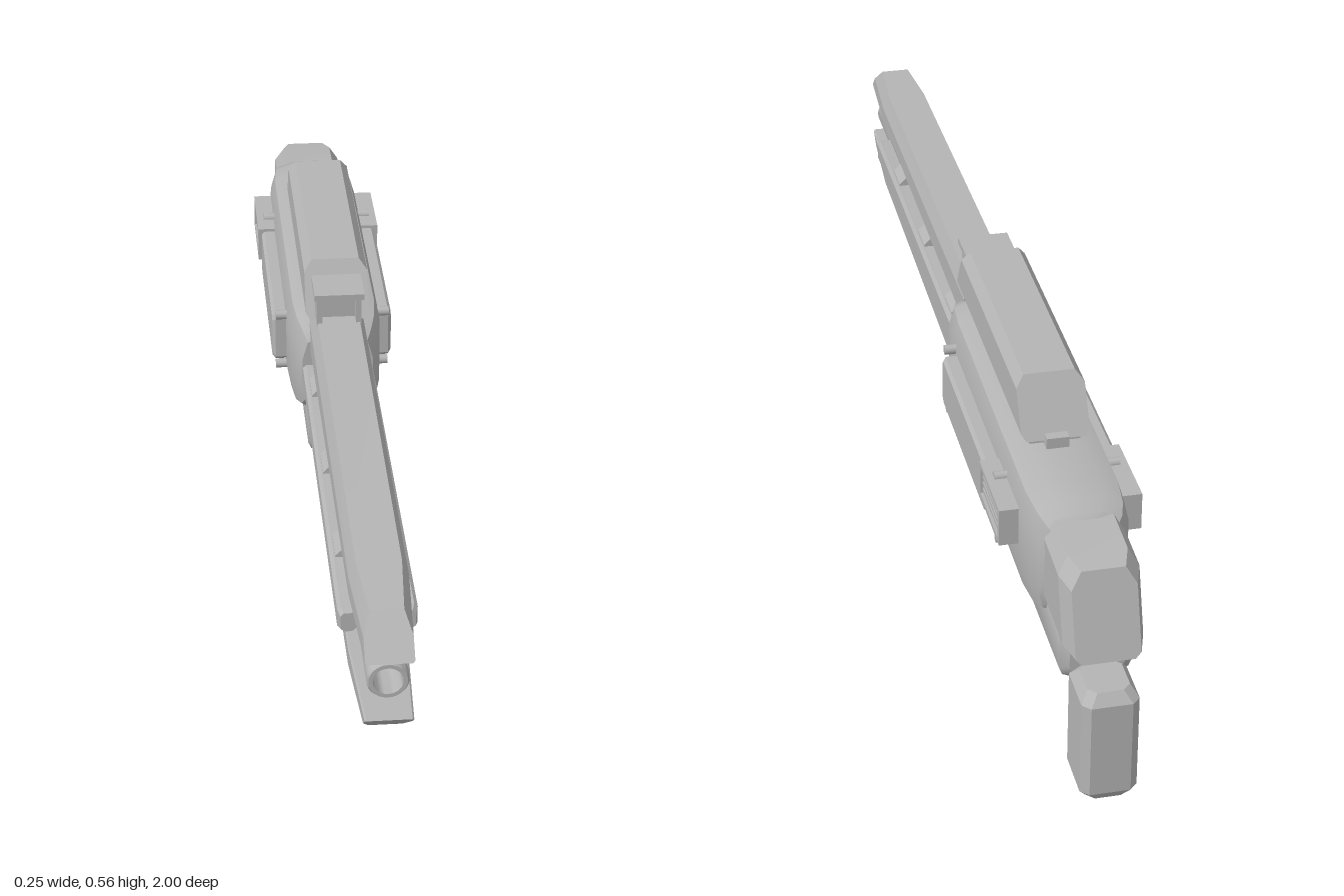
import * as THREE from 'three';
import { toCreasedNormals } from 'three/addons/utils/BufferGeometryUtils.js';

const metal = new THREE.MeshStandardMaterial({ color: 0xb4b4b4 });
metal.name = 'grey metal';

// Chamfered cross-section. z may be [bottom, top] for a slanted one; k < 0.5 rounds the chamfer.
function ring(z, w, y0, y1, { t = [0.01, 0.01], b = t, k = 0.5 } = {}) {
  const [zb, zt] = Array.isArray(z) ? z : [z, z];
  const right = [
    [w - b[0], y0], [w - b[0] * k, y0 + b[1] * k], [w, y0 + b[1]],
    [w, y1 - t[1]], [w - t[0] * k, y1 - t[1] * k], [w - t[0], y1],
  ];
  const left = right.map(([x, y]) => [-x, y]).reverse();
  return [...right, ...left].map(([x, y]) => [x, y, zb + (zt - zb) * (y - y0) / (y1 - y0)]);
}

// Skin rings from high z to low z, with both ends capped.
function loft(rings, crease = 0.45) {
  const n = rings[0].length, index = [], last = (rings.length - 1) * n;
  for (let i = 0; i < rings.length - 1; i++) {
    for (let j = 0; j < n; j++) {
      const a = i * n + j, b = i * n + (j + 1) % n;
      index.push(a, a + n, b, b, a + n, b + n);
    }
  }
  for (let j = 1; j < n - 1; j++) {
    index.push(0, j, j + 1, last, last + j + 1, last + j);
  }
  const g = new THREE.BufferGeometry();
  g.setAttribute('position', new THREE.Float32BufferAttribute(rings.flat(2), 3));
  g.setIndex(index);
  return toCreasedNormals(g, crease);
}

function frame(w, h, border, depth) {
  const rect = (s, a, b) => s.moveTo(-a, -b).lineTo(a, -b).lineTo(a, b).lineTo(-a, b).closePath();
  const shape = rect(new THREE.Shape(), w / 2, h / 2);
  shape.holes.push(rect(new THREE.Path(), w / 2 - border, h / 2 - border));
  return new THREE.ExtrudeGeometry(shape, { depth, bevelEnabled: false });
}

export function createModel() {
  const model = new THREE.Group();
  const add = (name, geometry, x = 0, y = 0, z = 0, parent = model) => {
    const mesh = new THREE.Mesh(geometry, metal);
    mesh.name = name;
    mesh.position.set(x, y, z);
    parent.add(mesh);
    return mesh;
  };

  // Long rails above and below the barrel
  const railEdge = { t: [0.012, 0.03], b: [0.003, 0.003] };
  const lowEdge = { t: [0.003, 0.003], b: [0.012, 0.03] };
  add('upperRail', loft([
    ring([1, 0.935], 0.04, 0.395, 0.455, railEdge),
    ring(0.8, 0.05, 0.394, 0.458, railEdge),
    ring(-0.06, 0.052, 0.388, 0.47, railEdge),
  ], 0.2));
  add('lowerRail', loft([
    ring([0.935, 1], 0.04, 0.228, 0.285, lowEdge),
    ring(0.8, 0.05, 0.224, 0.286, lowEdge),
    ring(-0.06, 0.052, 0.208, 0.29, lowEdge),
  ], 0.2));

  // Hollow barrel
  const tube = [[0.035, -1], [0.035, -0.005], [0.032, 0], [0.025, 0], [0.025, -0.15], [0, -0.15]];
  const barrel = new THREE.LatheGeometry(tube.map(p => new THREE.Vector2(...p)), 28);
  barrel.rotateX(Math.PI / 2);
  add('barrel', toCreasedNormals(barrel, 0.6), 0, 0.34, 0.97);

  // Side bars and the clamps that hold them
  for (const s of [-1, 1]) {
    const e = { t: [0.006, 0.006] };
    add('sideBar', loft([
      ring(0.8, 0.013, 0.321, 0.357, e), ring(0.785, 0.017, 0.317, 0.361, e), ring(-0.05, 0.017, 0.317, 0.361, e),
    ]), s * 0.05);
  }
  for (const z of [0.605, 0.335, 0.06]) {
    const clamp = new THREE.CylinderGeometry(0.063, 0.063, 0.065, 8).toNonIndexed();
    clamp.rotateX(Math.PI / 2).rotateZ(Math.PI / 8);
    clamp.computeVertexNormals();
    add('clamp', clamp, 0, 0.34, z);
  }

  // Main body with softened ends
  const body = { t: [0.045, 0.05], b: [0.03, 0.05], k: 0.24 };
  add('receiver', loft([
    ring(-0.03, 0.068, 0.275, 0.422, body),
    ring(-0.045, 0.076, 0.256, 0.438, body),
    ring(-0.08, 0.085, 0.246, 0.449, body),
    ring(-0.14, 0.09, 0.242, 0.452, body),
    ring(-0.7, 0.09, 0.236, 0.447, body),
    ring(-0.76, 0.084, 0.237, 0.444, body),
    ring(-0.788, 0.076, 0.246, 0.437, body),
    ring(-0.8, 0.066, 0.262, 0.425, body),
  ], 0.6));

  // Sloped block at the rear
  const tail = { t: [0.018, 0.03], b: [0.01, 0.01] };
  add('rearBlock', loft([
    ring(-0.76, 0.068, 0.28, 0.432, tail),
    ring([-0.93, -0.88], 0.068, 0.274, 0.425, tail),
    ring([-0.97, -0.92], 0.055, 0.268, 0.418, tail),
  ], 0.2));

  // Rounded blocks under the body
  const round = { t: [0.018, 0.018], k: 0.3 };
  const underBlock = (name, z0, z1, w, y0, y1) => add(name, loft([
    ring(z0, w - 0.014, y0 + 0.014, y1, round), ring(z0 - 0.015, w, y0, y1, round),
    ring(z1 + 0.015, w, y0, y1, round), ring(z1, w - 0.014, y0 + 0.014, y1, round),
  ], 0.6));
  underBlock('frontUnderBlock', 0.018, -0.385, 0.06, 0.19, 0.28);
  underBlock('rearUnderBlock', -0.68, -0.9, 0.062, 0.183, 0.285);
  underBlock('underStrip', -0.46, -0.72, 0.05, 0.215, 0.27);

  // Grip, lofted downwards
  const gripEdge = { t: [0.014, 0.014] };
  const grip = loft([
    ring(0.22, 0.036, 0.903, 0.985, gripEdge),
    ring(0.2, 0.049, 0.886, 1, gripEdge),
    ring(0.02, 0.049, 0.886, 1, gripEdge),
    ring(0, 0.036, 0.9, 0.987, gripEdge),
  ], 0.3);
  add('grip', grip.rotateX(-Math.PI / 2));

  // Raised housing on top
  const top = { t: [0.015, 0.02], b: [0.008, 0.012] };
  add('topHousing', loft([
    ring([-0.03, -0.09], 0.06, 0.458, 0.557, top),
    ring([-0.59, -0.53], 0.06, 0.458, 0.557, top),
  ], 0.2));
  add('housingBase', new THREE.BoxGeometry(0.09, 0.04, 0.54), 0, 0.445, -0.31);
  add('housingLatch', new THREE.BoxGeometry(0.04, 0.02, 0.025), 0, 0.458, -0.59);

  // Window in front of the housing
  add('windowFrame', frame(0.084, 0.07, 0.01, 0.075), 0, 0.492, -0.07);
  add('windowBack', new THREE.BoxGeometry(0.08, 0.066, 0.06), 0, 0.492, -0.05);
  add('windowHood', new THREE.BoxGeometry(0.094, 0.012, 0.085), 0, 0.527, -0.028);

  // Panels, bolts and vents on both sides, built facing +z and turned outwards
  for (const s of [-1, 1]) {
    const side = new THREE.Group();
    side.name = s > 0 ? 'leftSide' : 'rightSide';
    side.rotation.y = s * Math.PI / 2;
    model.add(side);
    const along = z => -s * z;
    const edge = { t: [0.008, 0.008] };
    add('sidePanel', loft([
      ring(0.117, 0.186, 0.301, 0.388, edge),
      ring(0.111, 0.193, 0.295, 0.394, edge),
      ring(0.08, 0.193, 0.295, 0.394, edge),
    ]), along(-0.365), 0, 0, side);
    for (const [z, y] of [[-0.165, 0.4], [-0.18, 0.284], [-0.595, 0.4], [-0.61, 0.284]]) {
      const bolt = new THREE.CylinderGeometry(0.009, 0.009, 0.035, 12).rotateX(Math.PI / 2);
      add('bolt', bolt, along(z), y, 0.093, side);
    }
    add('ventFrame', frame(0.158, 0.07, 0.009, 0.045), along(-0.62), 0.365, 0.079, side);
    add('ventBack', new THREE.BoxGeometry(0.15, 0.062, 0.03), along(-0.62), 0.365, 0.095, side);
    for (let i = 0; i < 4; i++) {
      add('ventSlat', new THREE.BoxGeometry(0.142, 0.006, 0.02), along(-0.62), 0.346 + i * 0.0127, 0.11, side);
    }
  }
  return model;
}
